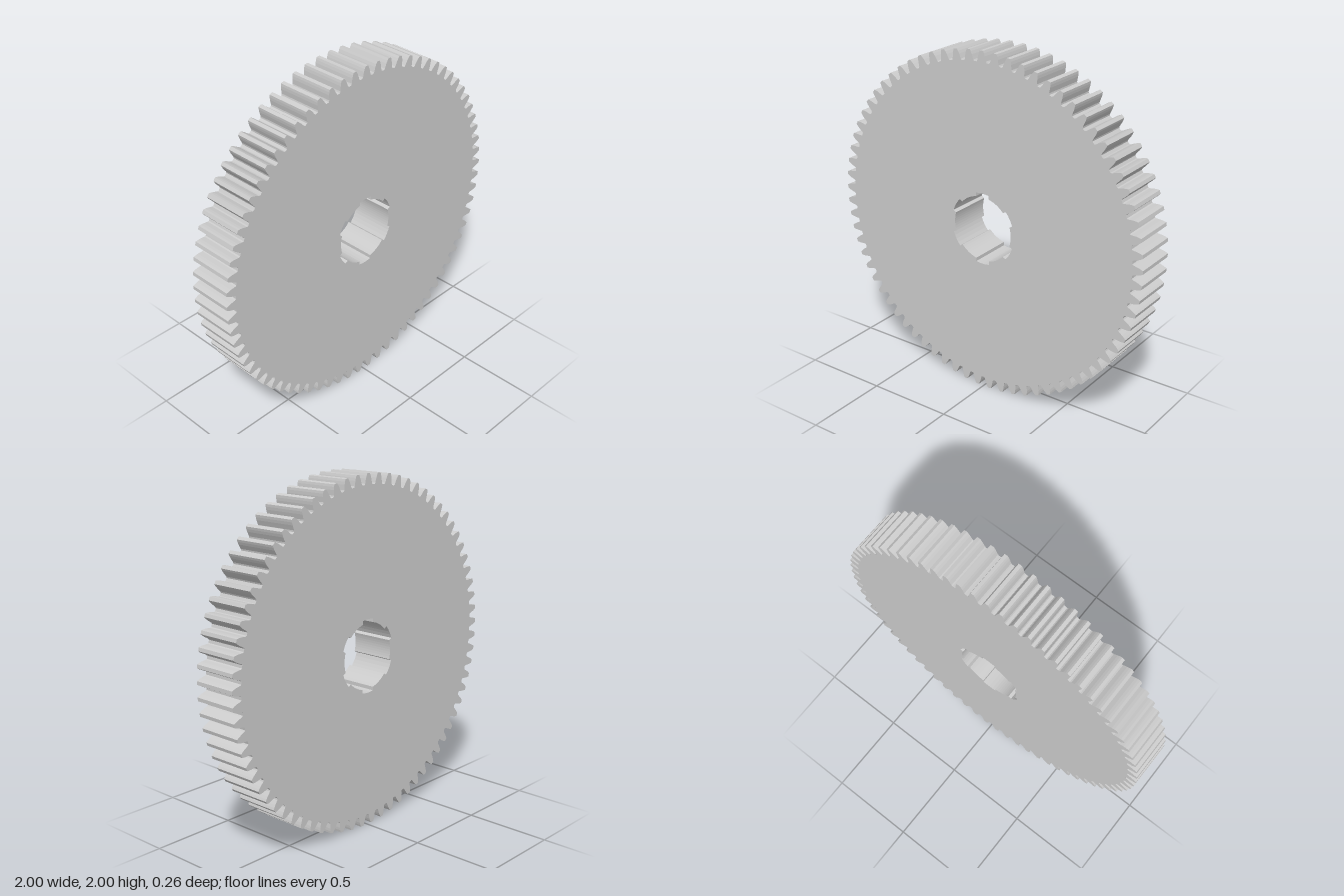
import * as THREE from 'three';

const TEETH = 73, DEPTH = 0.26;
const SLOTS = 6, BORE = 0.19, SLOT_R = 0.21, SLOT_HALF = 0.043;

const polar = (r, a) => new THREE.Vector2(r * Math.cos(a), r * Math.sin(a));

// Outer outline: one tooth profile (radius, half width in pitches) repeated around
function gearOutline() {
  const flank = [[0.939, 0.4], [0.946, 0.335], [0.96, 0.29], [0.973, 0.25], [0.988, 0.185], [1, 0.115]];
  const pitch = (2 * Math.PI) / TEETH;
  const pts = [];
  for (let i = 0; i < TEETH; i++) {
    const a = Math.PI / 2 + i * pitch;
    for (const [r, w] of flank) pts.push(polar(r, a - w * pitch));
    for (const [r, w] of [...flank].reverse()) pts.push(polar(r, a + w * pitch));
  }
  return pts;
}

// Bore outline: a circle with six straight-sided spline slots
function boreOutline() {
  const inner = Math.asin(SLOT_HALF / BORE), outer = Math.asin(SLOT_HALF / SLOT_R);
  const step = (2 * Math.PI) / SLOTS;
  const pts = [];
  for (let i = 0; i < SLOTS; i++) {
    const a = Math.PI / 2 + i * step;
    for (let k = 0; k <= 4; k++) pts.push(polar(SLOT_R, a - outer + (2 * outer * k) / 4));
    for (let k = 0; k <= 8; k++) pts.push(polar(BORE, a + inner + ((step - 2 * inner) * k) / 8));
  }
  return pts;
}

export function createModel() {
  const group = new THREE.Group();
  group.name = 'spurGear';

  // Toothed disc with the splined bore cut through it
  const shape = new THREE.Shape(gearOutline());
  shape.holes.push(new THREE.Path(boreOutline()));
  const geometry = new THREE.ExtrudeGeometry(shape, { depth: DEPTH, bevelEnabled: false });
  geometry.translate(0, 1, -DEPTH / 2);

  const gear = new THREE.Mesh(geometry, new THREE.MeshStandardMaterial({ color: 0xcccccc }));
  gear.name = 'gearWheel';
  group.add(gear);
  return group;
}
